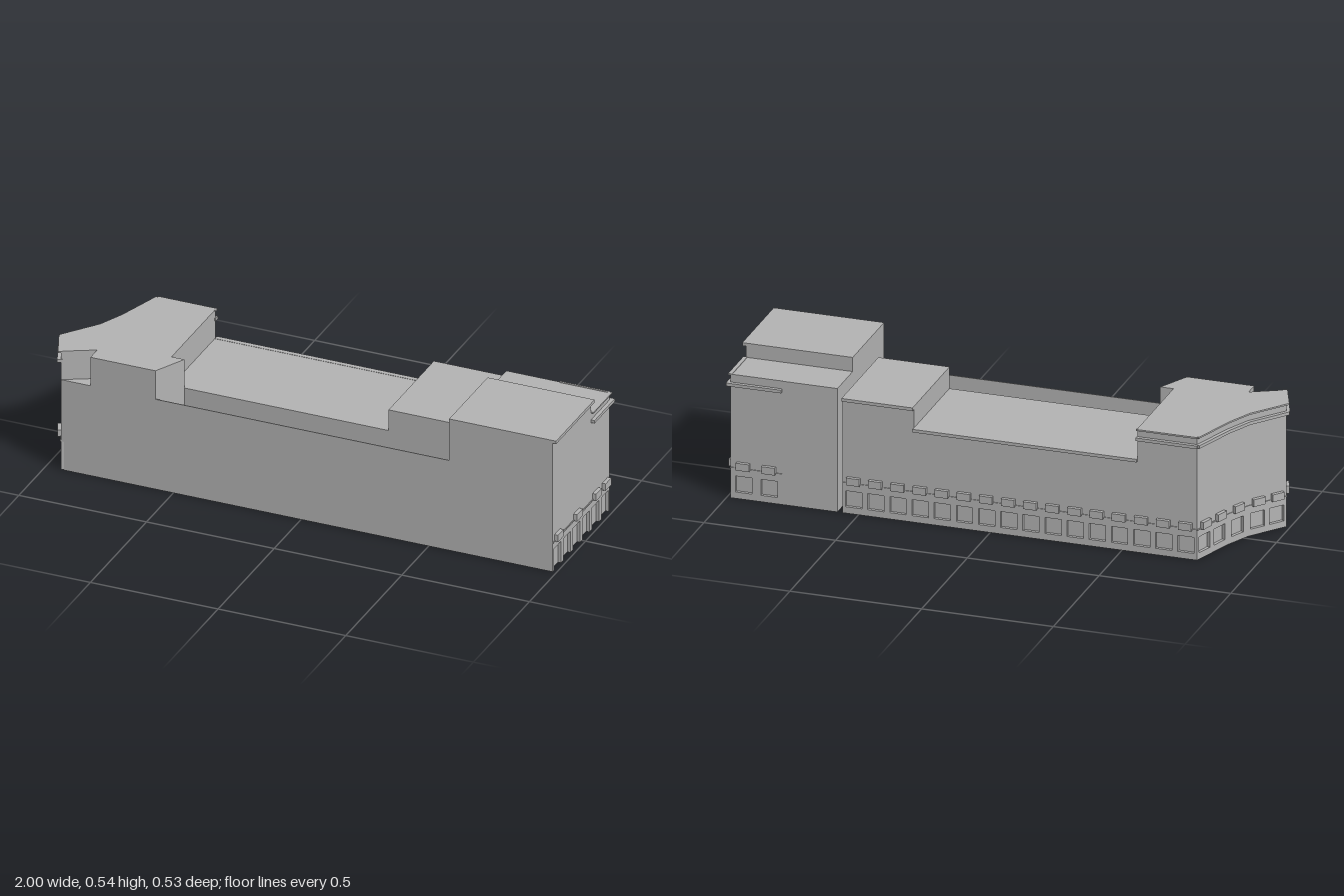
import * as THREE from 'three';

const stone = new THREE.MeshStandardMaterial({ color: 0xb3b3b3 });
stone.name = 'grey stone';

// Upright prism over a footprint of [x, z] corners
function prism(name, corners, y0, y1) {
  const shape = new THREE.Shape(corners.map(([x, z]) => new THREE.Vector2(x, -z)));
  const geo = new THREE.ExtrudeGeometry(shape, { depth: y1 - y0, bevelEnabled: false });
  geo.rotateX(-Math.PI / 2).translate(0, y0, 0);
  const mesh = new THREE.Mesh(geo, stone);
  mesh.name = name;
  return mesh;
}

// Box given by its lower and upper limits
function block(name, x0, x1, y0, y1, z0, z1) {
  const mesh = new THREE.Mesh(new THREE.BoxGeometry(x1 - x0, y1 - y0, z1 - z0), stone);
  mesh.position.set((x0 + x1) / 2, (y0 + y1) / 2, (z0 + z1) / 2);
  mesh.name = name;
  return mesh;
}

const RECESS = 0.012, WINDOW = 0.063, HEAD = 0.087, BAND = 0.115, OUT = 0.014;

// Group whose x runs along the wall from a to b and whose z points outwards
function wallFrame(name, a, b) {
  const dx = b[0] - a[0], dz = b[1] - a[1];
  const group = new THREE.Group();
  group.name = name;
  group.position.set(a[0], 0, a[1]);
  group.rotation.y = Math.atan2(-dz, dx);
  return { group, length: Math.hypot(dx, dz) };
}

// Projecting ledge along a wall
function ledge(name, a, b, y0, y1, out = OUT, ends = 0) {
  const { group, length } = wallFrame(name, a, b);
  group.add(block(name, -ends, length + ends, y0, y1, -0.005, out));
  return group;
}

// Ground floor: recessed windows between piers, band course and blocks above
function arcade(name, a, b, count, bottom, skip = []) {
  const { group, length } = wallFrame(name, a, b);
  const pitch = length / count;
  const width = Math.min(WINDOW, pitch * 0.74);
  const gap = (pitch - width) / 2;
  group.add(block('lintel', 0, length, HEAD, BAND, -RECESS, 0));
  group.add(block('bandCourse', 0, length, BAND, BAND + 0.005, -RECESS, 0.003));
  if (bottom > 0) group.add(block('plinth', 0, length, 0, bottom, -RECESS, 0));
  for (let i = 0; i <= count; i++) {
    const x0 = Math.max(0, i * pitch - gap), x1 = Math.min(length, i * pitch + gap);
    group.add(block('pier', x0, x1, bottom, HEAD, -RECESS, 0));
    if (i < count && !skip.includes(i)) {
      const c = (i + 0.5) * pitch;
      group.add(block('sillBlock', c - 0.025, c + 0.025, BAND, 0.143, -0.002, OUT));
    }
  }
  return group;
}

export function createModel() {
  const model = new THREE.Group();
  model.name = 'building';
  const add = (...parts) => model.add(...parts);

  // Angled corner tower
  const outline = [[-0.785, -0.25], [-0.84, -0.08], [-0.885, 0.02], [-0.985, 0.15], [-0.94, 0.26]];
  const inner = [[-0.775, -0.238], [-0.828, -0.076], [-0.873, 0.026], [-0.971, 0.151], [-0.928, 0.26]];
  const inside = [[-0.57, 0.26], [-0.51, 0.14], [-0.56, 0.14]];
  const notch = [[-0.825, 0.2], [-0.825, 0.26]];
  add(prism('cornerTowerBase', [...inner, ...inside, [-0.56, -0.238]], 0, BAND));
  add(prism('cornerTowerWalls', [...outline, ...inside, [-0.56, -0.25]], BAND, 0.366));
  add(prism('cornerTowerTop', [...outline, ...notch, ...inside, [-0.56, -0.25]], 0.366, 0.482));
  [2, 1, 2, 1].forEach((count, i) => {
    const a = outline[i], b = outline[i + 1];
    add(arcade('cornerArcade', a, b, count, 0.025));
    add(ledge('cornerCornice', a, b, 0.438, 0.45, OUT, 0.004));
    add(ledge('cornerRoofEdge', a, b, 0.476, 0.482, 0.011, 0.003));
  });
  add(ledge('towerBackCornice', [-0.56, -0.25], outline[0], 0.438, 0.45, OUT, 0.004));
  add(ledge('towerBackRoofEdge', [-0.56, -0.25], outline[0], 0.476, 0.482, 0.011, 0.003));

  // Long middle wing with its raised roof block
  add(block('middleBase', -0.56, 0.56, 0, BAND, -0.238, 0.14));
  add(block('middleWalls', -0.56, 0.56, BAND, 0.366, -0.25, 0.14));
  add(block('roofBlock', 0.29, 0.56, 0.366, 0.45, -0.25, 0.14));
  add(arcade('backArcade', [0.56, -0.25], [-0.785, -0.25], 16, 0.025));
  add(ledge('middleCornice', [0.29, -0.25], [-0.56, -0.25], 0.355, 0.367));
  add(ledge('roofBlockCornice', [0.56, -0.25], [0.29, -0.25], 0.438, 0.45));

  // Thin front wall and the light well behind it
  add(block('frontWall', -0.57, 0.58, 0, 0.366, 0.257, 0.26));
  add(block('lightWellFloor', -0.56, 0.58, 0, 0.008, 0.14, 0.257));

  // Tall end block
  add(prism('endBase', [[0.58, 0.26], [0.973, 0.26], [0.973, -0.238], [0.79, -0.238], [0.79, -0.25], [0.58, -0.25]], 0, BAND));
  add(block('endWalls', 0.58, 0.985, BAND, 0.48, -0.25, 0.26));
  add(block('endUpperStorey', 0.58, 0.985, 0.48, 0.535, -0.083, 0.26));
  add(arcade('endArcade', [0.985, 0.26], [0.985, -0.25], 6, 0, [1, 3]));
  add(arcade('endBackArcade', [0.985, -0.25], [0.79, -0.25], 2, 0.025));
  add(ledge('endTopCornice', [0.985, 0.26], [0.985, -0.083], 0.523, 0.535));
  add(ledge('endSideCornice', [0.985, -0.083], [0.985, -0.264], 0.438, 0.45));
  add(ledge('endBackCornice', [0.985, -0.25], [0.79, -0.25], 0.438, 0.45));
  add(ledge('endSideRoofEdge', [0.985, -0.083], [0.985, -0.25], 0.477, 0.482, 0.01));
  add(ledge('endBackRoofEdge', [0.985, -0.25], [0.79, -0.25], 0.477, 0.482, 0.003));

  return model;
}
